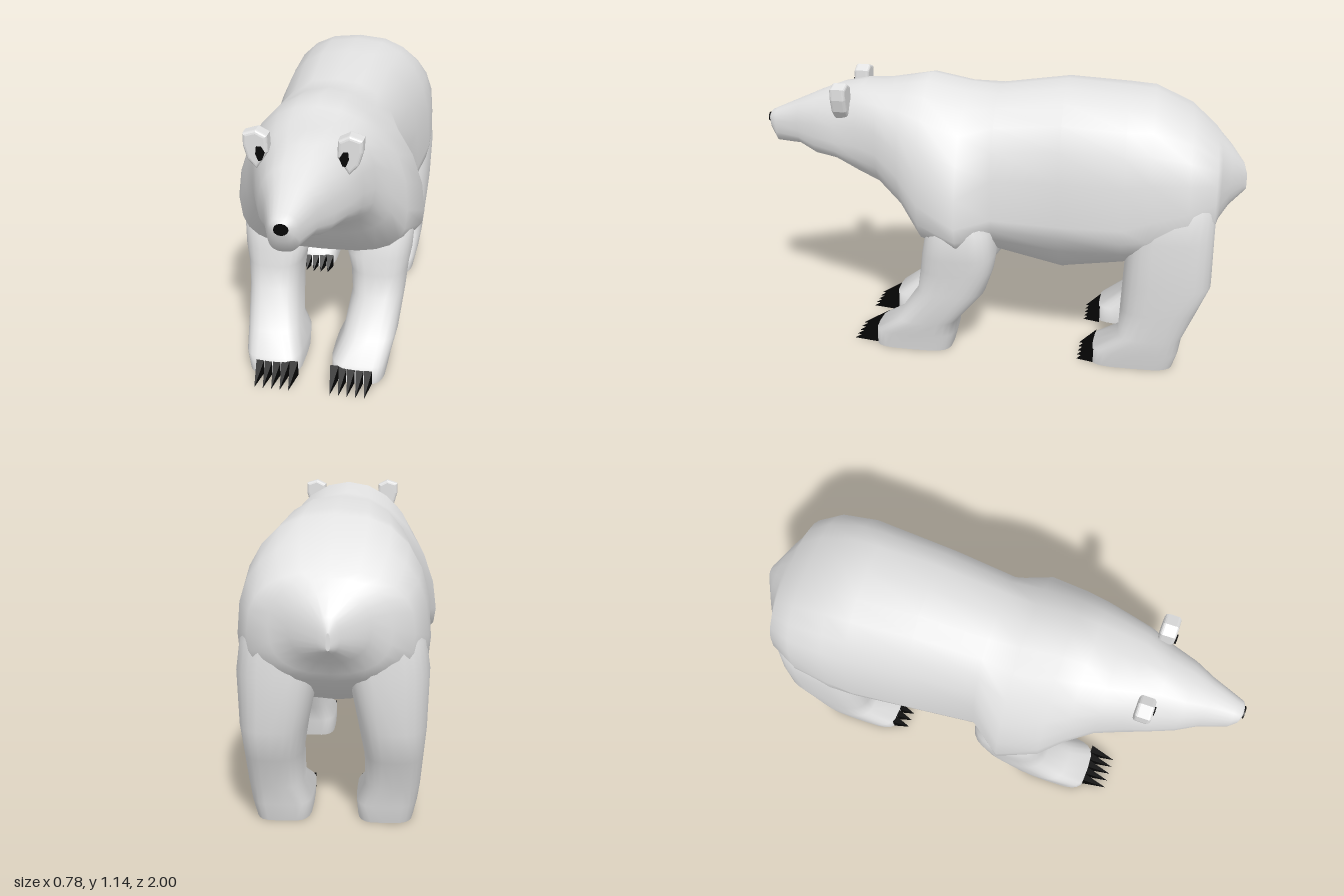
import * as THREE from 'three';

const fur = new THREE.MeshStandardMaterial({ color: 0xe2e2e2 });
fur.name = 'fur';
const black = new THREE.MeshStandardMaterial({ color: 0x050505 });
black.name = 'black';

const SIDES = 24;
const pow = (v, p) => Math.sign(v) * Math.abs(v) ** p;

// Skin a list of closed rings and close both ends with flat fans
function loft(rings) {
  const pos = [], index = [], n = rings[0].length;
  rings.forEach(r => r.forEach(p => pos.push(...p)));
  for (let i = 0; i < rings.length - 1; i++) {
    for (let j = 0; j < n; j++) {
      const k = (j + 1) % n, a = i * n + j, b = i * n + k;
      index.push(a, a + n, b, b, a + n, b + n);
    }
  }
  for (const [ring, flip] of [[rings[0], false], [rings[rings.length - 1], true]]) {
    const start = pos.length / 3;
    ring.forEach(p => pos.push(...p));
    pos.push(...[0, 1, 2].map(c => ring.reduce((s, p) => s + p[c], 0) / n));
    for (let j = 0; j < n; j++) {
      const k = (j + 1) % n;
      index.push(start + n, start + (flip ? k : j), start + (flip ? j : k));
    }
  }
  const geo = new THREE.BufferGeometry();
  geo.setAttribute('position', new THREE.Float32BufferAttribute(pos, 3));
  geo.setIndex(index);
  geo.computeVertexNormals();
  return geo;
}

const ringOf = fn => Array.from({ length: SIDES }, (_, j) => {
  const t = (j / SIDES) * Math.PI * 2;
  return fn(Math.cos(t), Math.sin(t));
});

// Upright ring: z, top, bottom, half width, height of the widest point,
// then the roundness of the upper and lower halves (small is boxy, 1 is an ellipse)
const bodyRing = ([z, top, bottom, w, mid, up, low]) => ringOf((c, s) => {
  const p = s > 0 ? up : low;
  return [w * pow(c, p), mid + (s > 0 ? top - mid : mid - bottom) * pow(s, p), z];
});

// Level ring: y, front z, back z, inner x, outer x, roundness
const legRing = ([y, front, back, inner, outer, p]) => ringOf((c, s) => [
  (inner + outer) / 2 + (outer - inner) / 2 * pow(c, p),
  y,
  (front + back) / 2 - (front - back) / 2 * pow(s, p),
]);

function add(parent, name, geo, material) {
  const mesh = new THREE.Mesh(geo, material);
  mesh.name = name;
  parent.add(mesh);
  return mesh;
}

// Claw: square pyramid whose tip drops to the ground
function clawGeometry(width, height, length) {
  const geo = new THREE.ConeGeometry(Math.SQRT1_2, 1, 4, 1).toNonIndexed();
  geo.rotateY(Math.PI / 4).rotateX(Math.PI / 2).translate(0, 0.5, 0.5);
  const p = geo.attributes.position;
  for (let i = 0; i < p.count; i++) if (p.getZ(i) > 0.9) p.setY(i, 0.02);
  geo.scale(width, height, length);
  geo.computeVertexNormals();
  return geo;
}

function addLeg(parent, name, rows, claw) {
  const leg = new THREE.Group();
  leg.name = name;
  add(leg, 'legAndPaw', loft(rows.map(legRing)), fur);
  const width = (claw.x1 - claw.x0) / 5;
  const geo = clawGeometry(width, claw.height, claw.length);
  for (let i = 0; i < 5; i++) {
    add(leg, 'claw', geo, black).position.set(claw.x0 + (i + 0.5) * width, 0, claw.z);
  }
  parent.add(leg);
}

const shapeOf = points => new THREE.Shape(points.map(([x, y]) => new THREE.Vector2(x, y)));

export function createModel() {
  const bear = new THREE.Group();
  bear.name = 'bear';

  // Snout, head, neck, trunk and tail as one skin
  add(bear, 'body', loft([
    [0.994, 0.938, 0.895, 0.026, 0.915, 0.9, 0.9],
    [0.985, 0.95, 0.87, 0.043, 0.91, 0.85, 0.8],
    [0.96, 0.962, 0.82, 0.056, 0.89, 0.85, 0.75],
    [0.85, 1.01, 0.82, 0.095, 0.89, 0.85, 0.7],
    [0.77, 1.045, 0.785, 0.135, 0.88, 0.85, 0.7],
    [0.67, 1.085, 0.775, 0.172, 0.87, 0.95, 0.7],
    [0.57, 1.10, 0.72, 0.205, 0.87, 0.8, 0.75],
    [0.48, 1.10, 0.68, 0.235, 0.85, 0.78, 0.8],
    [0.38, 1.12, 0.60, 0.285, 0.78, 0.9, 0.75],
    [0.29, 1.14, 0.48, 0.335, 0.68, 1.0, 0.65],
    [0.13, 1.11, 0.46, 0.388, 0.61, 1.07, 0.68],
    [0.00, 1.10, 0.40, 0.292, 0.62, 0.8, 1.15],
    [-0.27, 1.137, 0.325, 0.318, 0.62, 0.8, 1.25],
    [-0.52, 1.12, 0.395, 0.342, 0.63, 0.8, 1.0],
    [-0.62, 1.11, 0.44, 0.345, 0.67, 0.8, 0.75],
    [-0.77, 1.04, 0.50, 0.332, 0.71, 0.8, 0.7],
    [-0.87, 0.95, 0.57, 0.285, 0.74, 0.8, 0.7],
    [-0.89, 0.93, 0.60, 0.21, 0.76, 0.85, 0.8],
    [-0.93, 0.89, 0.65, 0.14, 0.77, 0.9, 0.9],
    [-0.985, 0.82, 0.695, 0.04, 0.75, 0.9, 0.9],
    [-1.0, 0.77, 0.71, 0.008, 0.73, 0.9, 0.9],
  ].map(bodyRing)), fur);

  // Nose pad
  const nose = add(bear, 'nose', new THREE.CylinderGeometry(0.025, 0.026, 0.009, 12), black);
  nose.rotation.x = Math.PI / 2;
  nose.scale.z = 0.8;
  nose.position.set(0, 0.918, 0.9955);

  // Ear and its dark inside, drawn for the left side
  const earGeo = new THREE.ExtrudeGeometry(shapeOf([
    [0.165, 0.975], [0.198, 1.01], [0.213, 1.06], [0.213, 1.105],
    [0.165, 1.12], [0.125, 1.10], [0.122, 1.04],
  ]), {
    depth: 0.04, bevelSize: 0.012, bevelThickness: 0.012, bevelOffset: -0.012, bevelSegments: 3,
  });
  const innerEarGeo = new THREE.ExtrudeGeometry(shapeOf([
    [0.143, 1.012], [0.155, 1.01], [0.165, 1.035], [0.162, 1.062], [0.145, 1.062], [0.132, 1.04],
  ]), { depth: 0.009, bevelEnabled: false });

  for (const side of [1, -1]) {
    const half = new THREE.Group();
    half.name = side > 0 ? 'leftSide' : 'rightSide';
    half.scale.x = side;

    add(half, 'ear', earGeo, fur).position.z = 0.61;
    add(half, 'innerEar', innerEarGeo, black).position.z = 0.66;

    addLeg(half, 'frontLeg', [
      [0.66, 0.22, 0.06, 0.14, 0.31, 0.8],
      [0.56, 0.27, 0.00, 0.10, 0.352, 0.75],
      [0.45, 0.292, -0.01, 0.08, 0.345, 0.7],
      [0.38, 0.30, 0.00, 0.10, 0.333, 0.7],
      [0.28, 0.315, 0.035, 0.11, 0.325, 0.7],
      [0.14, 0.41, 0.15, 0.09, 0.31, 0.65],
      [0.075, 0.505, 0.16, 0.06, 0.293, 0.5],
      [0.00, 0.51, 0.18, 0.062, 0.28, 0.5],
    ], { x0: 0.066, x1: 0.238, z: 0.495, height: 0.065, length: 0.115 });

    addLeg(half, 'hindLeg', [
      [0.81, -0.62, -0.865, 0.08, 0.28, 0.75],
      [0.70, -0.57, -0.88, 0.06, 0.325, 0.68],
      [0.58, -0.54, -0.88, 0.05, 0.342, 0.68],
      [0.38, -0.53, -0.88, 0.09, 0.335, 0.7],
      [0.26, -0.525, -0.83, 0.11, 0.325, 0.7],
      [0.14, -0.52, -0.78, 0.11, 0.315, 0.65],
      [0.07, -0.42, -0.77, 0.08, 0.305, 0.5],
      [0.00, -0.41, -0.75, 0.085, 0.29, 0.5],
    ], { x0: 0.09, x1: 0.262, z: -0.425, height: 0.06, length: 0.07 });

    bear.add(half);
  }
  return bear;
}
